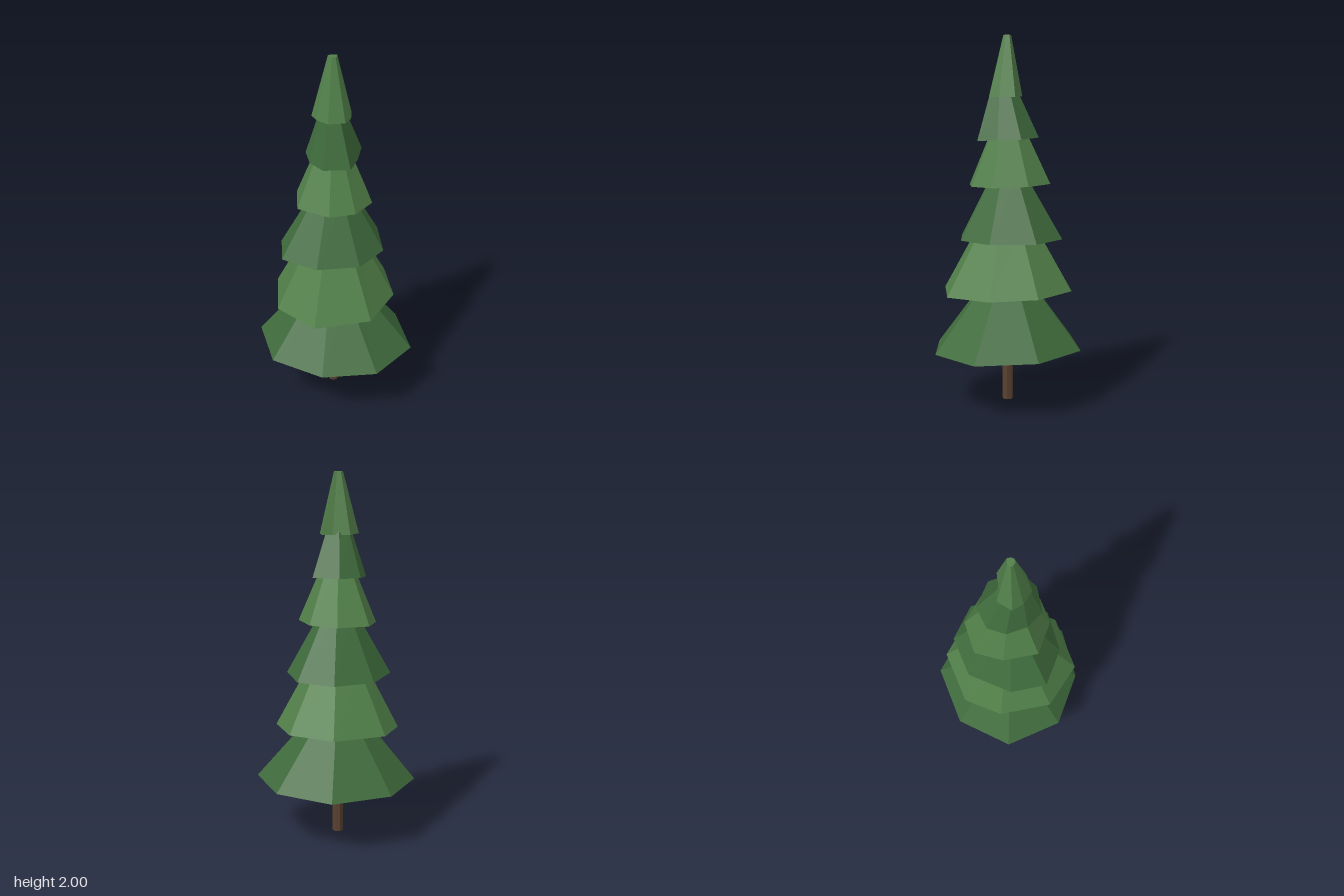
import * as THREE from 'three';

const CX = -0.015, CZ = 0.01; // trunk axis

// Each tier: rim height, top height, top scale, tilt along z, and uneven rim corners (x, z)
const TIERS = [
  { y: 0.307, top: 0.67, scale: 0.32, tilt: -0.01,
    rim: [[-0.01, -0.41], [0.297, -0.27], [0.44, 0.035], [0.298, 0.312], [0.015, 0.408], [-0.288, 0.32], [-0.44, 0.033], [-0.318, -0.266]] },
  { y: 0.622, top: 0.97, scale: 0.45, tilt: -0.04,
    rim: [[-0.015, -0.355], [0.227, -0.245], [0.325, -0.007], [0.25, 0.26], [-0.03, 0.388], [-0.267, 0.257], [-0.345, -0.017], [-0.28, -0.224]] },
  { y: 0.914, top: 1.25, scale: 0.34, tilt: -0.01,
    rim: [[-0.015, -0.3], [0.185, -0.22], [0.265, 0.014], [0.175, 0.209], [-0.04, 0.287], [-0.246, 0.225], [-0.3, 0.035], [-0.218, -0.2]] },
  { y: 1.205, top: 1.5, scale: 0.41, tilt: -0.03,
    rim: [[-0.027, -0.228], [0.125, -0.155], [0.2, 0.023], [0.14, 0.16], [0.013, 0.22], [-0.17, 0.17], [-0.22, -0.01], [-0.19, -0.163]] },
  { y: 1.45, top: 1.69, scale: 0.47, tilt: -0.05, shift: 0.02,
    rim: [[-0.034, -0.16], [0.112, -0.11], [0.12, 0.02], [0.107, 0.139], [-0.03, 0.175], [-0.117, 0.106], [-0.165, 0], [-0.14, -0.1]] },
  { y: 1.675, top: 2, scale: 0.23, tilt: 0,
    rim: [[0.01, -0.05], [0.067, -0.061], [0.083, 0.024], [0.067, 0.085], [-0.015, 0.117], [-0.085, 0.08], [-0.124, 0.028], [-0.083, -0.05]] },
];

// Closed, irregular frustum tapering towards the trunk axis; shift moves its top along z
function tierGeometry({ y, top, scale, tilt, shift = 0, rim }) {
  const n = rim.length, pos = [], index = [], topZ = CZ + shift;
  for (const [x, z] of rim) pos.push(x, y + tilt * z, z);
  for (const [x, z] of rim) pos.push(CX + (x - CX) * scale, top, topZ + (z - CZ) * scale);
  pos.push(CX, y, CZ, CX, top, topZ);
  for (let i = 0; i < n; i++) {
    const j = (i + 1) % n;
    index.push(j, i, n + i, j, n + i, n + j); // side
    index.push(i, j, 2 * n);                  // underside
    index.push(n + j, n + i, 2 * n + 1);      // top
  }
  const geo = new THREE.BufferGeometry();
  geo.setAttribute('position', new THREE.Float32BufferAttribute(pos, 3));
  geo.setIndex(index);
  const flat = geo.toNonIndexed();
  flat.computeVertexNormals();
  return flat;
}

export function createModel() {
  const tree = new THREE.Group();
  tree.name = 'pineTree';
  const material = (color) => new THREE.MeshStandardMaterial({ color, flatShading: true });

  // Trunk
  const trunk = new THREE.Mesh(new THREE.CylinderGeometry(0.03, 0.03, 0.4, 7), material(0x5a4030));
  trunk.name = 'trunk';
  trunk.position.set(CX, 0.2, CZ);
  tree.add(trunk);

  // Foliage tiers in alternating greens
  const greens = [material(0x3f6b3c), material(0x518049)];
  TIERS.forEach((tier, i) => {
    const mesh = new THREE.Mesh(tierGeometry(tier), greens[i % 2]);
    mesh.name = `foliageTier${i + 1}`;
    tree.add(mesh);
  });
  return tree;
}
